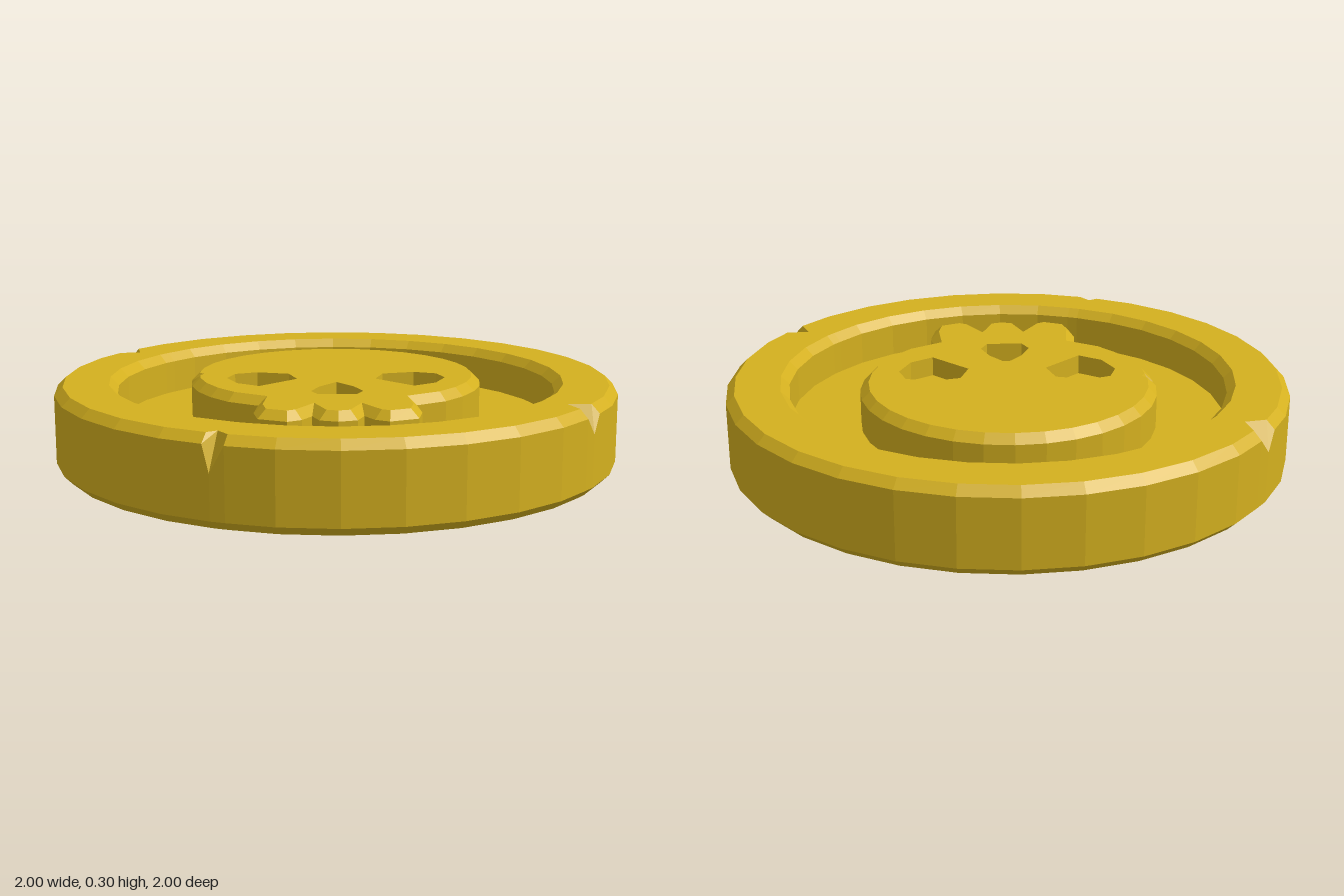
import * as THREE from 'three';

const TOP = 0.3, BEVEL = 0.03, FLOOR = 0.15, SOCKET = 0.23;
const STEP = 11.25;
const gold = new THREE.MeshStandardMaterial({ color: 0xd4b01f, flatShading: true });

// Skins a stack of closed rings; rings wind from +x towards +z
function skin(rings) {
  const pos = [], n = rings[0].length;
  const tri = (a, b, c) => {
    const area = b.clone().sub(a).cross(c.clone().sub(a)).length();
    if (area > 1e-9) pos.push(...a, ...b, ...c);
  };
  for (let i = 0; i < rings.length - 1; i++) {
    for (let j = 0; j < n; j++) {
      const k = (j + 1) % n, lo = rings[i], up = rings[i + 1];
      tri(lo[j], up[j], lo[k]);
      tri(lo[k], up[j], up[k]);
    }
  }
  const geo = new THREE.BufferGeometry();
  geo.setAttribute('position', new THREE.Float32BufferAttribute(pos, 3));
  geo.computeVertexNormals();
  return geo;
}

const ring = (pts, y) => pts.map(([x, z]) => new THREE.Vector3(x, y, z));
const toVec2 = (pts) => pts.map(([x, z]) => new THREE.Vector2(x, -z));

// Flat horizontal face with optional holes
function face(pts, y, holes = []) {
  const shape = new THREE.Shape(toVec2(pts));
  holes.forEach((h) => shape.holes.push(new THREE.Path(toVec2(h))));
  return new THREE.ShapeGeometry(shape).rotateX(-Math.PI / 2).translate(0, y, 0);
}

// Mitred inward offset of an outline
function inset(pts, size) {
  const normal = (a, b) => {
    const dx = b[0] - a[0], dz = b[1] - a[1], l = Math.hypot(dx, dz);
    return [-dz / l, dx / l];
  };
  return pts.map((p, i) => {
    const a = normal(pts[(i + pts.length - 1) % pts.length], p);
    const b = normal(p, pts[(i + 1) % pts.length]);
    const s = size / (1 + a[0] * b[0] + a[1] * b[1]);
    return [p[0] + (a[0] + b[0]) * s, p[1] + (a[1] + b[1]) * s];
  });
}

const mirror = (pts) => pts.map(([x, z]) => [-x, z]).reverse();

// Coin body: bevelled 32-sided disc with a round recess and V-shaped nicks in the rim
function coinGeometry() {
  const profile = [[0, 0], [0.97, 0], [1, BEVEL], [1, TOP - BEVEL], [0.97, TOP],
    [0.81, TOP], [0.78, TOP - BEVEL], [0.78, FLOOR], [0, FLOOR]];
  const nicks = [
    { from: 30.4, at: 33.2, to: 36, low: 0.21, inner: 0.9 },
    { from: 110.5, at: 113.4, to: 114.8, low: 0.18, inner: 0.935 },
    { from: 210, at: 213.2, to: 216.6, low: 0.21, inner: 0.91 },
  ];
  const columns = [];
  for (let k = 0; k < 32; k++) {
    const a = k * STEP;
    if (!nicks.some((n) => a > n.from - 0.5 && a < n.to + 0.5)) columns.push({ a });
  }
  nicks.forEach((n) => columns.push({ a: n.from }, { a: n.at, nick: n }, { a: n.to }));
  columns.sort((p, q) => p.a - q.a);

  return skin(profile.map(([r, y], i) => columns.map(({ a, nick }) => {
    // Keep inserted columns on the straight facets
    const off = (a % STEP) - STEP / 2;
    const rad = THREE.MathUtils.degToRad;
    const chord = Math.cos(rad(STEP / 2)) / Math.cos(rad(off));
    let rr = r * chord, yy = y;
    if (nick && i === 3) yy = nick.low;
    if (nick && i === 4) rr = nick.inner;
    return new THREE.Vector3(rr * Math.cos(rad(a)), yy, rr * Math.sin(rad(a)));
  })));
}

// Outline of the skull, with a small chip on its right side
function skullOutline() {
  const half = [];
  for (let k = 1; k <= 12; k++) {
    const t = THREE.MathUtils.degToRad(k * STEP);
    half.push([0.525 * Math.sin(t), -0.07 - 0.525 * Math.cos(t)]);
  }
  // Jaw and teeth
  half.push([0.268, 0.365], [0.278, 0.48], [0.262, 0.57], [0.165, 0.612],
    [0.118, 0.585], [0.085, 0.53], [0.062, 0.592]);
  const left = mirror(half);
  const cheek = left.findIndex(([, z]) => z < -0.06);
  left.splice(cheek, 0, [-0.5195, -0.02], [-0.5225, -0.045]);
  const pts = [[0, -0.595], ...half, [0, 0.612], ...left];
  return { pts, chip: 1 + half.length + 1 + cheek + 1 };
}

export function createModel() {
  const model = new THREE.Group();
  model.name = 'skullCoin';
  const add = (name, geo, parent) => {
    const mesh = new THREE.Mesh(geo, gold);
    mesh.name = name;
    parent.add(mesh);
  };

  add('coinBody', coinGeometry(), model);

  const skull = new THREE.Group();
  skull.name = 'skullRelief';
  model.add(skull);

  // Eye and nose openings
  const eye = [[0.14, 0.05], [0.17, -0.045], [0.285, -0.075], [0.365, -0.045],
    [0.39, 0.03], [0.35, 0.125], [0.27, 0.178]];
  const nose = [[0, 0.11], [0.06, 0.19], [0.09, 0.268], [0.065, 0.322],
    [-0.065, 0.322], [-0.09, 0.268], [-0.06, 0.19]];
  const openings = { leftEye: eye, rightEye: mirror(eye), nose };

  // Walls, bevel and top of the skull
  const { pts, chip } = skullOutline();
  const topPts = inset(pts, BEVEL);
  topPts[chip][0] += 0.015;
  const shoulder = ring(pts, TOP - BEVEL);
  shoulder[chip].y = 0.225;
  add('skullSides', skin([ring(pts, FLOOR), shoulder, ring(topPts, TOP)]), skull);
  add('skullTop', face(topPts, TOP, Object.values(openings)), skull);

  // Sunken sockets
  for (const [name, hole] of Object.entries(openings)) {
    add(name + 'Walls', skin([ring(hole, TOP), ring(hole, SOCKET)]), skull);
    add(name + 'Floor', face(hole, SOCKET), skull);
  }
  return model;
}
